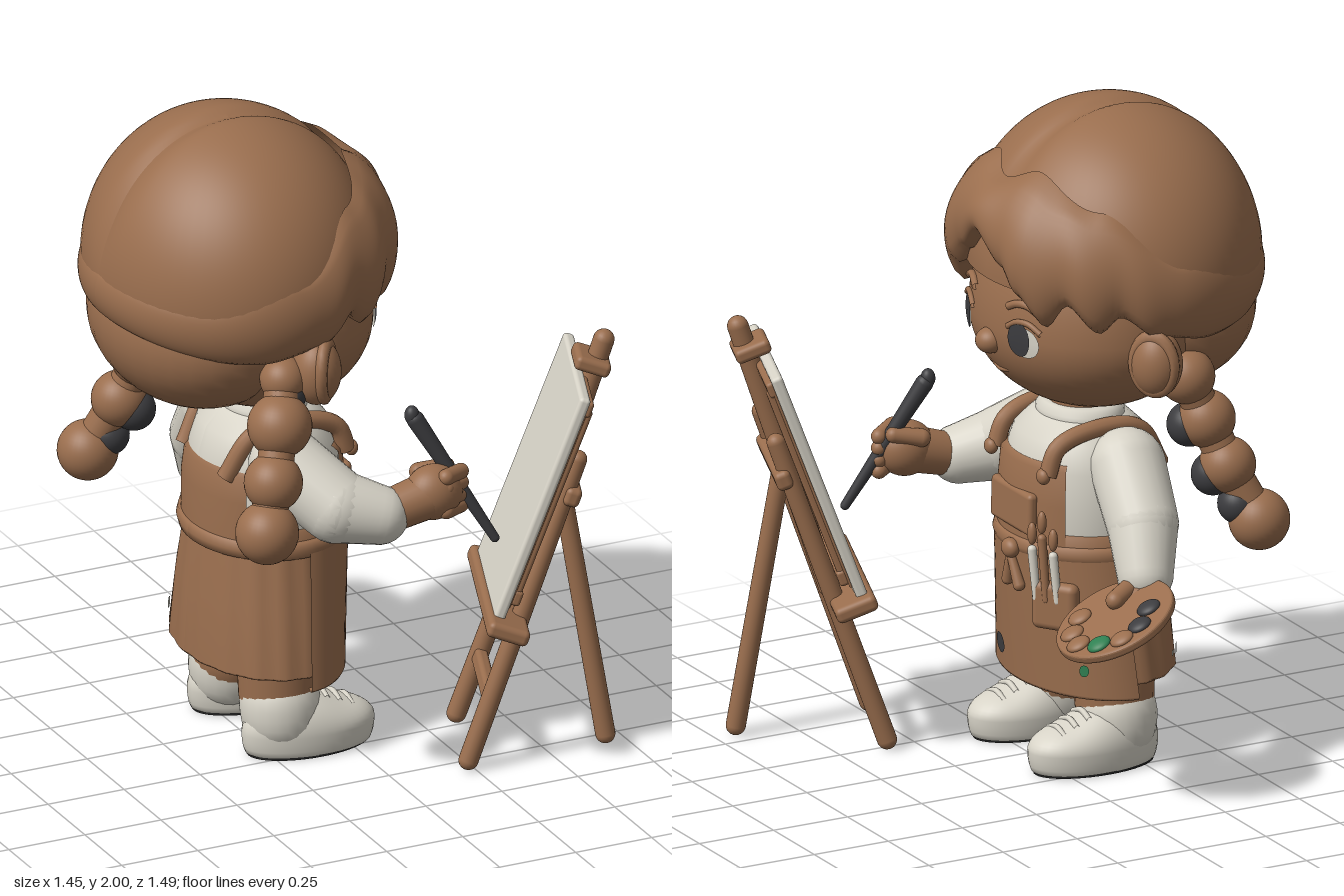
import * as THREE from 'three';
import { RoundedBoxGeometry } from 'three/addons/geometries/RoundedBoxGeometry.js';

const mat = (name, color, side = THREE.FrontSide) => {
  const m = new THREE.MeshStandardMaterial({ color, side });
  m.name = name;
  return m;
};
const V = (a) => new THREE.Vector3(...a);
const { lerp, smoothstep, clamp } = THREE.MathUtils;

// smooth interpolation through [key, value] pairs
function table(rows, k) {
  for (let i = 1; i < rows.length; i++) {
    const [a, va] = rows[i - 1], [b, vb] = rows[i];
    if (k <= b) return lerp(va, vb, smoothstep(k, a, b));
  }
  return rows[rows.length - 1][1];
}

export function createModel() {
  const brown = mat('warm brown', 0x9a6e4e, THREE.DoubleSide);
  const white = mat('off white', 0xd7d3c7, THREE.DoubleSide);
  const dark = mat('charcoal', 0x3c3c3f, THREE.DoubleSide);
  const green = mat('paint green', 0x2f8052, THREE.DoubleSide);
  const black = mat('sole black', 0x222222);
  const root = new THREE.Group();

  const add = (name, geo, m, pos = [0, 0, 0], parent = root) => {
    const mesh = new THREE.Mesh(geo, m);
    mesh.name = name;
    mesh.position.set(...pos);
    parent.add(mesh);
    return mesh;
  };
  const ball = (name, pos, r, m, parent = root) => {
    const s = add(name, new THREE.SphereGeometry(1, 32, 24), m, pos, parent);
    s.scale.set(...(Array.isArray(r) ? r : [r, r, r]));
    return s;
  };
  // round-ended tapered limb from a to b
  const rod = (name, a, b, r1, r2, m, parent = root) => {
    const A = V(a), B = V(b), L = A.distanceTo(B), pts = [];
    for (let i = 0; i <= 6; i++) {
      const t = (i / 6) * Math.PI / 2;
      pts.push(new THREE.Vector2(r1 * Math.sin(t), -r1 * Math.cos(t)));
    }
    for (let i = 0; i <= 6; i++) {
      const t = (i / 6) * Math.PI / 2;
      pts.push(new THREE.Vector2(r2 * Math.cos(t), L + r2 * Math.sin(t)));
    }
    const mesh = add(name, new THREE.LatheGeometry(pts, 24), m, a, parent);
    mesh.quaternion.setFromUnitVectors(new THREE.Vector3(0, 1, 0), B.sub(A).normalize());
    return mesh;
  };
  const tube = (name, pts, r, m, parent = root) =>
    add(name, new THREE.TubeGeometry(new THREE.CatmullRomCurve3(pts.map(V)), 32, r, 10), m, [0, 0, 0], parent);

  // ---------- head ----------
  const headGeo = new THREE.SphereGeometry(1, 48, 36);
  const hp = headGeo.attributes.position;
  for (let i = 0; i < hp.count; i++) {
    const y = hp.getY(i);
    hp.setXYZ(i, -0.2 + hp.getX(i) * 0.34, 1.36 + y * (y > 0 ? 0.42 : 0.28), hp.getZ(i) * 0.4);
  }
  headGeo.computeVertexNormals();
  add('head', headGeo, brown);
  const headX = (y, z) => {
    const dy = (y - 1.36) / (y > 1.36 ? 0.42 : 0.28);
    return -0.2 + 0.34 * Math.sqrt(Math.max(0, 1 - dy * dy - (z / 0.4) ** 2));
  };
  // thin oval that follows a forward-facing surface
  const patch = (name, y, z, ry, rz, m, surf, off) => {
    const g = new THREE.CircleGeometry(1, 24).rotateY(Math.PI / 2), p = g.attributes.position;
    for (let i = 0; i < p.count; i++) {
      const py = y + p.getY(i) * ry, pz = z + p.getZ(i) * rz;
      p.setXYZ(i, surf(py, pz) + off, py, pz);
    }
    g.computeVertexNormals();
    add(name, g, m);
  };
  for (const s of [1, -1]) {
    patch('eyeWhite', 1.352, s * 0.17, 0.047, 0.052, white, headX, 0.006);
    patch('iris', 1.36, s * 0.155, 0.053, 0.04, dark, headX, 0.01);
    const arc = (y, z, h, w) => [-1, -0.4, 0.3, 1].map((t) => {
      const yy = y + h * (1 - t * t), zz = s * (z + t * w);
      return [headX(yy, zz) + 0.004, yy, zz];
    });
    tube('eyelid', arc(1.39, 0.165, 0.025, 0.06), 0.009, brown);
    tube('eyebrow', arc(1.45, 0.155, 0.018, 0.055), 0.012, brown);
    const ear = ball('ear', [-0.2, 1.315, s * 0.42], [0.075, 0.105, 0.08], brown);
    ear.rotation.y = s * -0.4;
    const rim = add('earRim', new THREE.TorusGeometry(0.062, 0.02, 10, 24), brown, [-0.18, 1.32, s * 0.44]);
    rim.rotation.y = s * 0.9;
    rim.scale.y = 1.3;
  }
  ball('nose', [0.13, 1.315, 0], [0.046, 0.04, 0.045], brown);
  tube('mouth', [-1, 0, 1].map((t) => [headX(1.22, t * 0.05), 1.22 + 0.01 * t * t, t * 0.05]), 0.007, brown);

  // ---------- hair ----------
  const capGeo = new THREE.SphereGeometry(1, 64, 40, 0, Math.PI * 2, 0, 1.62);
  const cp = capGeo.attributes.position;
  for (let i = 0; i < cp.count; i++) {
    const x = cp.getX(i), y = cp.getY(i), z = cp.getZ(i);
    const k = 1 - 0.04 * Math.exp(-((z / 0.07) ** 2)) * smoothstep(y, -0.1, 0.5);
    cp.setXYZ(i, -0.285 + x * 0.43 * k, 1.535 + y * 0.468 * k, z * 0.478 * k);
  }
  capGeo.computeVertexNormals();
  add('hairCap', capGeo, brown);
  ball('backHair', [-0.4, 1.38, 0], [0.3, 0.27, 0.39], brown);

  // fringe in front, sweeping into a rolled band behind
  const lower = [[0, 1.66], [14, 1.57], [24, 1.5], [33, 1.42], [43, 1.5], [56, 1.42], [64, 1.47], [80, 1.4], [105, 1.37], [180, 1.42]];
  const upper = [[0, 1.82], [20, 1.86], [55, 1.78], [90, 1.63], [130, 1.56], [180, 1.57]];
  const N = 160, M = 16, pos = [], idx = [];
  for (let i = 0; i <= N; i++) {
    const f = (i / N) * Math.PI * 2 - Math.PI, d = Math.abs(f) * 180 / Math.PI;
    const y0 = table(lower, d), y1 = table(upper, d), c = Math.cos(f);
    for (let j = 0; j <= M; j++) {
      const t = Math.max(0, (j - 1) / (M - 1)), y = lerp(y0, y1, t);
      const strand = 0.01 * Math.cos(d * 0.25) * (1 - t) * smoothstep(c, 0, 0.5);
      const bulge = (0.025 + 0.036 * Math.max(0, c) ** 2) * Math.sqrt(Math.sin(Math.PI * t) + 1e-6) + strand;
      const s = Math.sqrt(1 - ((y - 1.53) / 0.49) ** 2) * (j === 0 ? 0.8 : 1);
      pos.push(-0.27 + c * (0.43 * s + bulge), y + (j === 0 ? 0.03 : 0), Math.sin(f) * (0.465 * s + bulge));
      if (i < N && j < M) {
        const a = i * (M + 1) + j, b = a + M + 1;
        idx.push(a, a + 1, b, b, a + 1, b + 1);
      }
    }
  }
  const fringe = new THREE.BufferGeometry();
  fringe.setAttribute('position', new THREE.Float32BufferAttribute(pos, 3));
  fringe.setIndex(idx);
  fringe.computeVertexNormals();
  add('fringe', fringe, brown);

  // braids: strings of plump knots, with dark ties on the inner front side
  const braids = {
    rightBraid: {
      knots: [[-0.3, 1.3, 0.4, 0.07], [-0.34, 1.18, 0.46, 0.097], [-0.39, 1.03, 0.52, 0.088], [-0.43, 0.89, 0.56, 0.095]],
      ties: [[-0.295, 1.25, 0.41, 0.06]],
    },
    leftBraid: {
      knots: [[-0.34, 1.23, -0.35, 0.085], [-0.4, 1.09, -0.36, 0.088], [-0.45, 0.95, -0.4, 0.085], [-0.53, 0.78, -0.45, 0.092]],
      ties: [[-0.36, 1.07, -0.33, 0.068], [-0.415, 0.92, -0.375, 0.066], [-0.475, 0.83, -0.42, 0.062]],
    },
  };
  for (const [name, { knots, ties }] of Object.entries(braids)) {
    const g = new THREE.Group();
    g.name = name;
    root.add(g);
    knots.forEach(([x, y, z, r], i) => {
      ball('braidKnot', [x, y, z], r, brown, g);
      if (i) rod('braidCore', knots[i - 1].slice(0, 3), [x, y, z], 0.055, 0.055, brown, g);
    });
    ties.forEach(([x, y, z, r]) => ball('hairTie', [x, y, z], r, dark, g));
  }

  // ---------- body and clothes ----------
  // the skirt narrows in depth and drifts back towards the hem
  const rise = (y) => clamp((y - 0.25) / 0.41, 0, 1);
  const depth = (y) => lerp(0.69, 0.85, rise(y));
  const middle = (y) => lerp(-0.198, -0.172, rise(y));
  // oval lathe; angle 0 faces +x, half-width in radians
  const oval = (name, profile, m, mid = 0, half = Math.PI, ripple = 0) => {
    const g = new THREE.LatheGeometry(profile.map((p) => new THREE.Vector2(...p)), 72, Math.PI / 2 + mid - half, half * 2);
    const p = g.attributes.position;
    for (let i = 0; i < p.count; i++) {
      const y = p.getY(i), k = 1 + ripple * Math.sin(Math.atan2(p.getZ(i), p.getX(i)) * 18);
      p.setX(i, middle(y) + p.getX(i) * depth(y) * k);
      p.setZ(i, p.getZ(i) * k);
    }
    g.computeVertexNormals();
    return add(name, g, m);
  };
  oval('shirt', [[0.25, 0.64], [0.262, 0.72], [0.26, 0.82], [0.25, 0.92], [0.22, 1.0], [0.16, 1.05], [0.1, 1.06]], white);
  oval('collar', [[0.14, 1.02], [0.15, 1.04], [0.148, 1.065], [0.13, 1.085], [0.1, 1.085]], white);
  rod('neck', [-0.18, 1.03, 0], [-0.18, 1.14, 0], 0.1, 0.1, brown);
  oval('skirt', [[0.2, 0.3], [0.325, 0.28], [0.335, 0.29], [0.3, 0.5], [0.265, 0.68]], brown, 0, Math.PI, 0.012);
  oval('apron', [[0.33, 0.25], [0.345, 0.24], [0.352, 0.25], [0.287, 0.67]], brown, 0, 1.5);
  oval('belt', [[0.26, 0.645], [0.285, 0.65], [0.292, 0.675], [0.285, 0.7], [0.25, 0.705]], brown);
  oval('bib', [[0.277, 0.68], [0.275, 0.82], [0.264, 0.93], [0.24, 0.945]], brown, 0, 0.82);
  oval('backBib', [[0.277, 0.68], [0.275, 0.82], [0.264, 0.9], [0.24, 0.92]], brown, Math.PI, 0.85);
  oval('sideWaist', [[0.276, 0.68], [0.272, 0.73], [0.25, 0.74]], brown);
  const apronX = (y, z) => middle(y) + depth(y) * Math.sqrt((0.352 - 0.155 * (y - 0.25)) ** 2 - z * z);
  const pocket = add('bibPocket', new RoundedBoxGeometry(0.035, 0.13, 0.24, 4, 0.015), brown, [0.05, 0.785, 0]);
  pocket.rotation.z = 0.03;
  const pouch = add('apronPocket', new RoundedBoxGeometry(0.05, 0.15, 0.15, 5, 0.024), brown, [apronX(0.52, -0.19), 0.52, -0.19]);
  pouch.rotation.y = 0.6;
  [[-0.15, white, 0.74], [-0.18, brown, 0.78], [-0.21, white, 0.73]].forEach(([z, m, top]) => {
    const x = apronX(0.6, z) + 0.02;
    rod('pocketBrush', [x, 0.54, z], [x + 0.01, top - 0.05, z + 0.01], 0.012, 0.014, m);
    ball('brushTip', [x + 0.01, top, z + 0.01], [0.014, 0.035, 0.016], brown);
  });
  ball('beltKnot', [0.08, 0.665, -0.03], [0.025, 0.03, 0.035], brown);
  for (const t of [-1, 1]) rod('beltTail', [0.08, 0.65, -0.03], [0.075, 0.56, -0.04 + t * 0.035], 0.012, 0.018, brown);
  patch('paintBlot', 0.33, 0.085, 0.032, 0.034, dark, apronX, 0.006);
  patch('greenBlot', 0.33, -0.27, 0.018, 0.011, green, apronX, 0.007);
  // small white splashes on the back of the skirt
  for (const [a, r] of [[-2.36, 0.018], [-2.2, 0.01]]) {
    const c = Math.cos(a), s = Math.sin(a), y = 0.34;
    const spot = add('whiteSplash', new THREE.CircleGeometry(r, 16), white, [middle(y) + 0.337 * depth(y) * c, y, 0.337 * s]);
    spot.rotation.y = Math.atan2(c / depth(y), s);
  }
  for (const s of [1, -1]) {
    tube('strap', [[0.025, 0.92, s * 0.16], [-0.01, 1.0, s * 0.16], [-0.13, 1.04, s * 0.165], [-0.28, 1.02, s * 0.16], [-0.365, 0.89, s * 0.14]], 0.028, brown);
    ball('strapButton', [0.04, 0.92, s * 0.16], [0.02, 0.025, 0.025], brown);

    // legs and shoes
    rod('leg', [-0.2, 0.17, s * 0.16], [-0.2, 0.45, s * 0.15], 0.118, 0.13, brown);
    const g = new THREE.SphereGeometry(1, 40, 28), p = g.attributes.position;
    for (let i = 0; i < p.count; i++) {
      const x = p.getX(i), y = p.getY(i);
      const h = lerp(0.13, 0.085, smoothstep(x, -0.3, 0.6));
      p.setXYZ(i, -0.115 + x * 0.212, y > 0 ? 0.07 + y * h : Math.max(0.008, 0.07 + y * 0.2), s * 0.185 + p.getZ(i) * (0.115 + 0.01 * x));
    }
    g.computeVertexNormals();
    add('shoe', g, white);
    rod('shoeCuff', [-0.2, 0.12, s * 0.175], [-0.2, 0.15, s * 0.172], 0.12, 0.122, white);
    for (let i = 0; i < 3; i++) {
      const x = -0.075 + i * 0.042, y = 0.177 - i * 0.019;
      tube('lace', [[x, y - 0.016, s * 0.185 - 0.05], [x, y, s * 0.185], [x, y - 0.016, s * 0.185 + 0.05]], 0.009, white);
    }
    add('sole', new THREE.CylinderGeometry(1, 1, 0.009, 40), black, [-0.115, 0.0045, s * 0.185]).scale.set(0.195, 1, 0.104);
  }

  // ---------- arms and hands ----------
  rod('rightUpperSleeve', [-0.21, 0.94, 0.24], [-0.11, 0.84, 0.37], 0.115, 0.112, white);
  rod('rightForeSleeve', [-0.11, 0.84, 0.37], [0.005, 0.81, 0.42], 0.112, 0.09, white);
  rod('rightWrist', [0.04, 0.815, 0.42], [0.15, 0.845, 0.43], 0.065, 0.07, brown);
  ball('rightHand', [0.18, 0.855, 0.43], [0.09, 0.085, 0.075], brown);
  for (let i = 0; i < 4; i++) {
    rod('rightFinger', [0.2, 0.915 - i * 0.036, 0.475], [0.27, 0.905 - i * 0.036, 0.43], 0.025, 0.024, brown);
  }
  rod('rightThumb', [0.16, 0.9, 0.37], [0.24, 0.915, 0.395], 0.028, 0.024, brown);
  rod('brushHandle', [0.15, 1.07, 0.37], [0.36, 0.69, 0.475], 0.027, 0.014, dark);
  ball('brushHandleEnd', [0.14, 1.085, 0.366], [0.022, 0.03, 0.022], dark);

  rod('leftUpperSleeve', [-0.2, 0.94, -0.24], [-0.18, 0.8, -0.37], 0.115, 0.108, white);
  rod('leftForeSleeve', [-0.18, 0.8, -0.37], [-0.145, 0.67, -0.45], 0.108, 0.085, white);
  rod('leftWrist', [-0.14, 0.63, -0.47], [-0.06, 0.57, -0.49], 0.06, 0.065, brown);
  ball('leftHand', [-0.02, 0.54, -0.5], [0.085, 0.06, 0.08], brown);
  for (let i = 0; i < 4; i++) {
    rod('leftFinger', [0.0, 0.535, -0.44 - i * 0.04], [0.07, 0.495, -0.45 - i * 0.04], 0.026, 0.022, brown);
  }
  rod('leftThumb', [-0.1, 0.65, -0.46], [-0.01, 0.63, -0.51], 0.03, 0.028, brown);

  // ---------- palette ----------
  const palette = new THREE.Group();
  palette.name = 'palette';
  palette.position.set(0.012, 0.58, -0.56);
  palette.rotation.z = -0.46;
  root.add(palette);
  const board = new THREE.Shape().absellipse(0, 0, 0.18, 0.18, 0, Math.PI * 2);
  board.holes.push(new THREE.Path().absellipse(-0.06, -0.06, 0.03, 0.025, 0, Math.PI * 2, true));
  add('paletteBoard', new THREE.ExtrudeGeometry(board, { depth: 0.012, bevelSize: 0.008, bevelThickness: 0.008, bevelSegments: 3, curveSegments: 40 }).rotateX(-Math.PI / 2), brown, [0, 0, 0], palette);
  [[-0.085, -0.075, dark], [-0.02, -0.125, dark], [0.05, -0.13, brown], [0.105, -0.08, green], [0.14, -0.01, brown], [0.12, 0.06, brown], [0.06, 0.11, brown]]
    .forEach(([x, z, m]) => ball('paintDab', [x, 0.022, z], [0.037, 0.016, 0.035], m, palette));

  // ---------- easel ----------
  const easel = new THREE.Group();
  easel.name = 'easel';
  easel.position.set(0.495, 0, 0.46);
  easel.rotation.y = -0.35;
  root.add(easel);
  const lean = (y) => -0.223 + 0.35 * y;
  for (const s of [1, -1]) rod('frontLeg', [lean(0.03), 0.03, s * 0.175 + 0.01], [lean(0.97), 0.97, s * 0.145], 0.03, 0.028, brown, easel);
  rod('rearLeg', [0.21, 0.03, 0.03], [0.07, 0.9, -0.01], 0.03, 0.028, brown, easel);
  rod('mast', [lean(0.46), 0.46, 0], [lean(1.29) - 0.02, 1.29, 0], 0.03, 0.032, brown, easel);
  const tilted = (name, size, y, off, m, z = 0) => {
    const b = add(name, new RoundedBoxGeometry(...size, 3, Math.min(...size) * 0.35), m, [lean(y) + off, y, z], easel);
    b.rotation.z = -0.355;
  };
  tilted('lowerRail', [0.04, 0.05, 0.34], 0.22, 0, brown);
  tilted('upperRail', [0.05, 0.06, 0.38], 0.86, 0.02, brown);
  tilted('ledge', [0.13, 0.05, 0.6], 0.48, -0.05, brown, 0.01);
  tilted('canvas', [0.035, 0.75, 0.5], 0.855, -0.075, white);
  tilted('canvasBack', [0.012, 0.69, 0.45], 0.855, -0.055, brown);
  for (const y of [0.56, 1.16]) tilted('stretcherBar', [0.03, 0.05, 0.45], y, -0.045, brown);
  for (const s of [1, -1]) {
    tilted('stretcherSide', [0.03, 0.64, 0.04], 0.855, -0.045, brown, s * 0.2);
    tilted('barePatch', [0.009, 0.12, 0.1], 1.05, -0.048, white, s * 0.12);
  }
  tilted('topClamp', [0.11, 0.045, 0.13], 1.225, -0.035, brown);
  return root;
}
